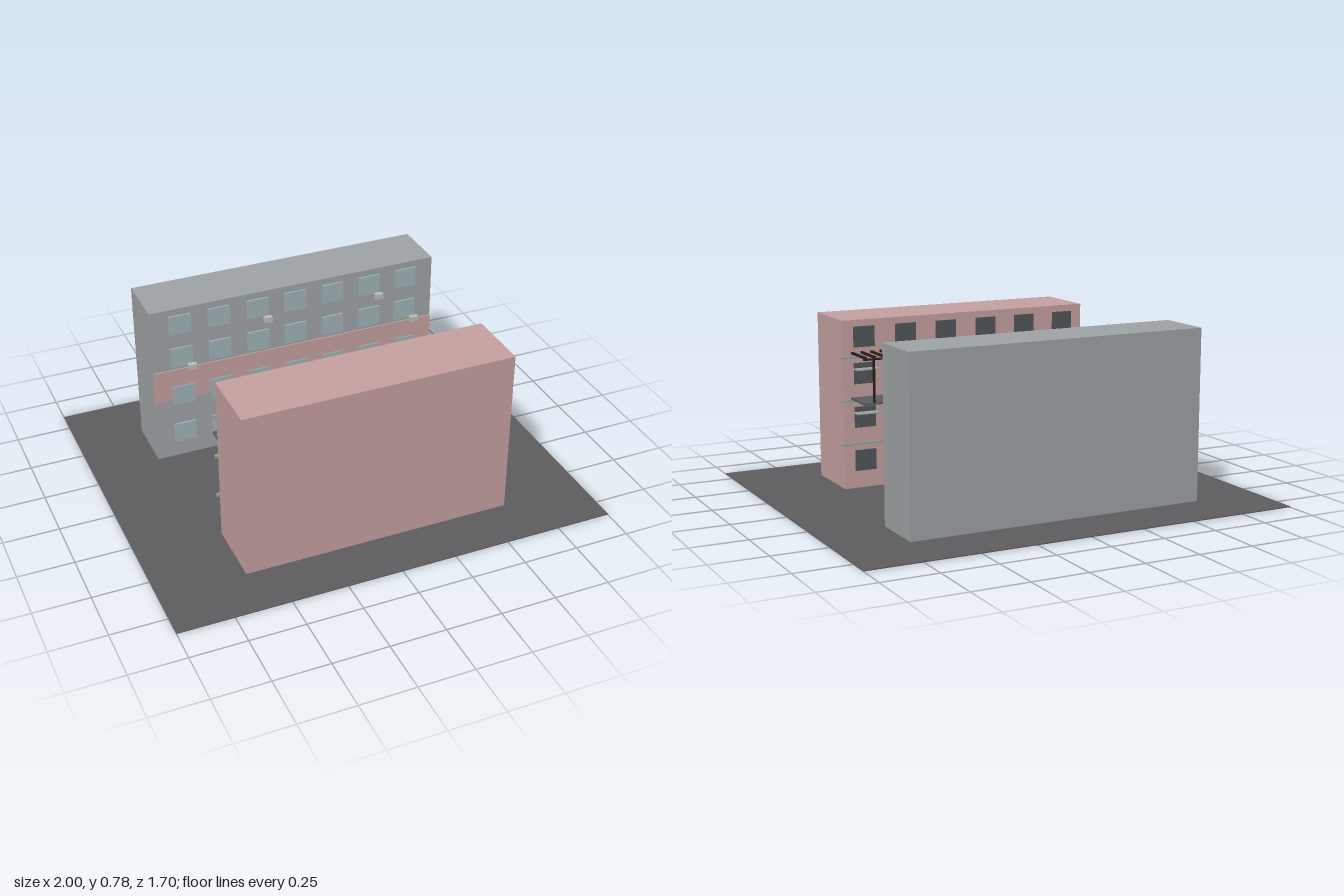
import * as THREE from 'three';

const mat = (name, color) => Object.assign(new THREE.MeshStandardMaterial({ color }), { name });

export function createModel() {
  const pink = mat('pink plaster', 0xc6a2a1);
  const grey = mat('grey plaster', 0x9fa4a6);
  const asphalt = mat('asphalt', 0x5e5e60);
  const paleGlass = mat('pale glass', 0x9fb3b8);
  const darkGlass = mat('dark glass', 0x53575a);
  const trim = mat('pale trim', 0x9fa3a3);
  const wood = mat('dark wood', 0x2b1d17);
  const slab = mat('balcony slab', 0x5a5f61);
  const casing = mat('unit casing', 0xbcbdbb);

  const model = new THREE.Group();
  model.name = 'courtyardBlocks';

  const group = (name) => {
    const g = new THREE.Group();
    g.name = name;
    model.add(g);
    return g;
  };
  // Box given by its limits on each axis
  const box = (parent, name, material, [x0, x1], [y0, y1], [z0, z1]) => {
    const m = new THREE.Mesh(new THREE.BoxGeometry(x1 - x0, y1 - y0, z1 - z0), material);
    m.position.set((x0 + x1) / 2, (y0 + y1) / 2, (z0 + z1) / 2);
    m.name = name;
    parent.add(m);
  };
  const around = (c, size) => [c - size / 2, c + size / 2];

  box(model, 'ground', asphalt, [-1, 1], [0, 0.004], [-0.85, 0.85]);

  // Window rows, bottom to top
  const rows = [[0.085, 0.18], [0.285, 0.38], [0.485, 0.58], [0.652, 0.745]];

  // Grey block with a painted band and windows facing the courtyard
  const back = group('greyBlock');
  box(back, 'walls', grey, [-0.69, 0.69], [0.004, 0.775], [-0.59, -0.33]);
  box(back, 'paintedBand', pink, [-0.69, 0.69], [0.312, 0.468], [-0.33, -0.324]);
  const greyX = (i) => -0.553 + i * 0.184;
  rows.forEach((y) => {
    for (let i = 0; i < 7; i++) {
      box(back, 'window', paleGlass, around(greyX(i), 0.105), y, [-0.328, -0.319]);
    }
  });

  // Air conditioners: columns used in each row
  [[3, 5], [1, 4], [0, 6], [2, 5]].forEach((columns, r) => {
    const y = [0.077, 0.278, 0.48, 0.64][r];
    columns.forEach((i) => {
      box(back, 'airConditioner', casing, around(greyX(i) + 0.044, 0.038), around(y, 0.026), [-0.319, -0.296]);
    });
  });

  // Pink block with dark windows and floor ledges
  const front = group('pinkBlock');
  box(front, 'walls', pink, [-0.613, 0.61], [0.004, 0.775], [0.31, 0.613]);
  const pinkX = (i) => -0.507 + i * 0.203;
  rows.forEach((y) => {
    for (let i = 0; i < 6; i++) {
      box(front, 'window', darkGlass, around(pinkX(i), 0.1), y, [0.301, 0.31]);
    }
  });
  [0.21, 0.41, 0.608].forEach((y) => {
    box(front, 'ledge', trim, [-0.627, 0.624], around(y, 0.012), [0.302, 0.313]);
  });
  // Small window shelves
  [0.355, 0.555].forEach((y) => {
    [1, 3, 5].forEach((i) => {
      box(front, 'windowShelf', trim, around(pinkX(i), 0.115), around(y, 0.005), [0.255, 0.302]);
    });
  });

  // Long balcony under a slatted pergola
  const pergola = group('balconyPergola');
  box(pergola, 'balconyFloor', slab, [-0.578, 0.575], [0.416, 0.425], [0.148, 0.308]);
  for (let i = 0; i < 7; i++) {
    box(pergola, 'post', wood, around(-0.525 + i * 0.175, 0.009), [0.425, 0.62], [0.151, 0.16]);
  }
  box(pergola, 'frontBeam', wood, [-0.56, 0.575], [0.615, 0.623], [0.151, 0.16]);
  for (let i = 0; i < 25; i++) {
    box(pergola, 'rafter', wood, around(-0.545 + i * 0.0463, 0.01), [0.622, 0.632], [0.147, 0.308]);
  }

  return model;
}
